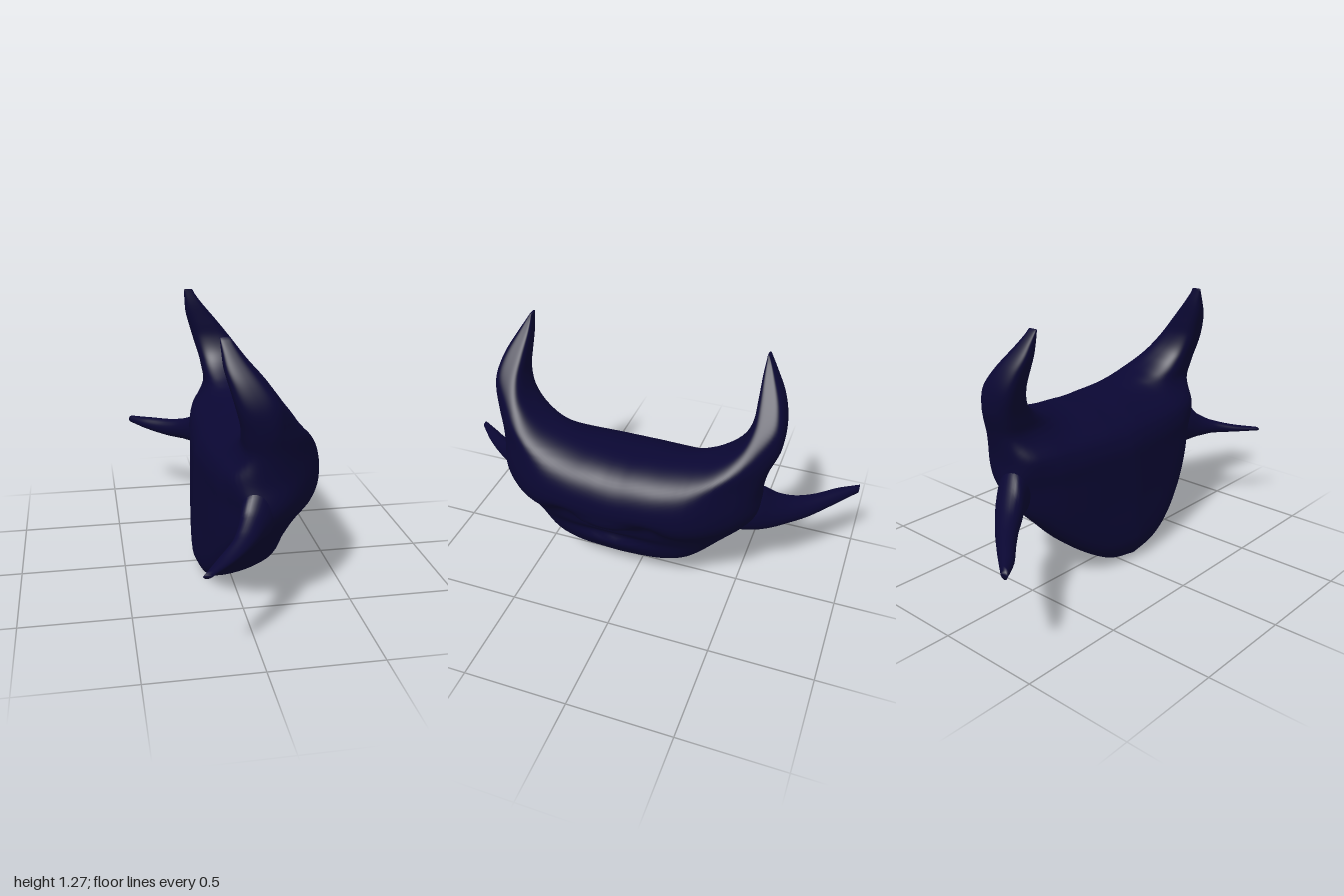
import * as THREE from 'three';

const material = new THREE.MeshStandardMaterial({ color: 0x0a0733 });
const { lerp, smoothstep } = THREE.MathUtils;

// Piecewise lookup in [key, value] pairs, lightly smoothed
function linear(table, k) {
  if (k <= table[0][0]) return table[0][1];
  for (let i = 1; i < table.length; i++) {
    const [k0, v0] = table[i - 1], [k1, v1] = table[i];
    if (k <= k1) return v0 + (v1 - v0) * (k - k0) / (k1 - k0);
  }
  return table[table.length - 1][1];
}
const look = (table, k, w = 0.025) =>
  (linear(table, k - w) + 2 * linear(table, k) + linear(table, k + w)) / 4;
const bump = (d, w) => Math.exp(-(d * d) / (w * w));
const softMin = (a, b, r) => (a + b - Math.hypot(a - b, r)) / 2;

// Skin a list of closed rings (counter-clockwise seen from ahead) and cap both ends
function loft(name, rings) {
  const m = rings[0].length, n = rings.length, index = [];
  for (let i = 0; i < n - 1; i++) {
    for (let j = 0; j < m; j++) {
      const a = i * m + j, b = i * m + (j + 1) % m;
      index.push(a, b, a + m, b, b + m, a + m);
    }
  }
  const last = (n - 1) * m;
  for (let j = 1; j < m - 1; j++) {
    index.push(0, j + 1, j, last, last + j, last + j + 1);
  }
  const geometry = new THREE.BufferGeometry();
  geometry.setAttribute('position', new THREE.Float32BufferAttribute(rings.flat(2), 3));
  geometry.setIndex(index);
  geometry.computeVertexNormals();
  const mesh = new THREE.Mesh(geometry, material);
  mesh.name = name;
  return mesh;
}

// Crescent outline, chin to horn tip: inner edge z, y and outer edge z, y
const crescent = [
  [0, 0.79, 0, 0.002], [0.04, 0.79, 0.14, 0.03], [0.08, 0.793, 0.27, 0.1],
  [0.12, 0.796, 0.385, 0.19], [0.19, 0.8, 0.49, 0.3], [0.26, 0.81, 0.585, 0.41],
  [0.33, 0.825, 0.64, 0.53], [0.4, 0.848, 0.635, 0.66], [0.47, 0.89, 0.65, 0.78],
  [0.52, 0.945, 0.685, 0.9], [0.547, 1.02, 0.69, 1.0], [0.55, 1.1, 0.665, 1.1],
  [0.55, 1.2, 0.61, 1.2], [0.555, 1.27, 0.567, 1.27],
];
const innerCurve = new THREE.CatmullRomCurve3(crescent.map(([z, y]) => new THREE.Vector3(0, y, z)));
const outerCurve = new THREE.CatmullRomCurve3(crescent.map(([, , z, y]) => new THREE.Vector3(0, y, z)));

// Side profile by height: face, back and the line where they meet
const faceX = [[0, -0.04], [0.03, 0.015], [0.1, 0.11], [0.2, 0.2], [0.3, 0.228], [0.36, 0.258],
  [0.43, 0.305], [0.5, 0.37], [0.56, 0.393], [0.64, 0.398], [0.7, 0.388], [0.75, 0.365],
  [0.8, 0.325], [0.85, 0.268], [0.9, 0.218], [1, 0.137], [1.1, 0.055], [1.2, -0.03], [1.27, -0.08]];
const backX = [[0, -0.15], [0.03, -0.168], [0.1, -0.178], [0.3, -0.167], [0.6, -0.158],
  [0.68, -0.13], [0.75, -0.055], [0.8, -0.022], [0.9, -0.036], [1, -0.066], [1.15, -0.11], [1.27, -0.12]];
const innerX = [[0.79, 0.16], [0.85, 0.12], [0.9, 0.09], [1, 0.03], [1.1, -0.02], [1.2, -0.07], [1.27, -0.1]];
const outerX = [[0, -0.09], [0.06, -0.075], [0.2, -0.03], [0.45, 0.025], [0.6, 0.04], [0.78, 0.07],
  [0.9, 0.07], [1, 0.03], [1.1, -0.02], [1.2, -0.07], [1.27, -0.1]];
// How far the face and back draw in towards the sides
const faceInset = [[0, 0], [0.2, 0.008], [0.35, 0.03], [0.45, 0.075], [0.55, 0.15], [0.65, 0.25], [0.7, 0.3]];
const backInset = [[0, 0], [0.3, 0.025], [0.45, 0.045], [0.55, 0.085], [0.65, 0.14]];

function headPoint(inner, outer, side, theta) {
  const t = (1 - Math.cos(theta)) / 2;
  const y = lerp(inner.y, outer.y, t);
  const half = lerp(inner.z, outer.z, t);
  const z = side * half + 0.02 + 0.06 * Math.max(0, 1 - y / 0.9);
  const mid = lerp(look(innerX, inner.y), look(outerX, outer.y), t);
  return { y, z, half, mid, sin: Math.abs(Math.sin(theta)) };
}

function headRing(u, steps) {
  const side = u < 0 ? -1 : 1, s = Math.abs(u);
  const inner = innerCurve.getPoint(s), outer = outerCurve.getPoint(s), ring = [];
  // Full and blunt at the chin, rounder along the sides and horns
  const flank = smoothstep(s, 0.08, 0.45);
  for (let j = 0; j < 2 * steps; j++) {
    const back = j < steps;
    const p = headPoint(inner, outer, side, Math.PI * (back ? j : 2 * steps - j) / steps);
    let x;
    if (back) {
      const low = 1 - smoothstep(p.y, 0.5, 0.85);
      x = Math.min(look(backX, p.y) + low * look(backInset, p.half, 0.04), p.mid - 0.015);
    } else {
      // Below, the cheeks draw in; above, the brow runs on into the horns
      const inset = look(faceInset, p.half, 0.04), face = look(faceX, p.y);
      x = lerp(face - inset, softMin(face, 0.4 - inset, 0.04), smoothstep(p.y, 0.5, 0.85));
      // Eye sockets, the hollow under the brow, crease of the mouth and lower lip
      for (const e of [-0.12, 0.28]) x -= 0.045 * bump(p.z - e, 0.08) * bump(p.y - 0.48, 0.05);
      const centre = bump(p.z - 0.08, 0.2);
      x += centre * (0.02 * bump(p.y - 0.48, 0.03) - 0.025 * bump(p.y - 0.42, 0.03)
        - 0.02 * bump(p.y - 0.32, 0.025) + 0.015 * bump(p.y - 0.26, 0.03));
      x = Math.max(x, p.mid + 0.015);
    }
    const round = 1 - Math.pow(1 - p.sin, lerp(3, back ? 1.5 : 2.1, flank));
    ring.push([p.mid + (x - p.mid) * round, p.y, p.z]);
  }
  return ring;
}

// Tapering ear through stations of z, x, y, half width, half height
function ear(name, stations) {
  const path = new THREE.CatmullRomCurve3(stations.map(([z, x, y]) => new THREE.Vector3(x, y, z)));
  const size = new THREE.CatmullRomCurve3(stations.map(([, , , w, h]) => new THREE.Vector3(w, h, 0)));
  const rings = [];
  for (let i = 0; i <= 36; i++) {
    const c = path.getPoint(i / 36), r = size.getPoint(i / 36), ring = [];
    for (let j = 0; j < 28; j++) {
      const a = j / 28 * Math.PI * 2;
      ring.push([c.x + r.x * Math.cos(a), c.y + r.y * Math.sin(a), c.z]);
    }
    rings.push(ring);
  }
  return loft(name, rings);
}

export function createModel() {
  const model = new THREE.Group();
  model.name = 'hornedHead';

  const rings = [];
  for (let i = -80; i <= 80; i++) rings.push(headRing(i / 80, 48));
  model.add(loft('headWithHorns', rings));

  model.add(ear('frontEar', [
    [0.48, 0.06, 0.54, 0.03, 0.06], [0.58, 0.045, 0.535, 0.08, 0.13], [0.66, 0.025, 0.525, 0.075, 0.115],
    [0.72, -0.01, 0.498, 0.06, 0.07], [0.8, -0.06, 0.478, 0.048, 0.038],
    [0.9, -0.145, 0.46, 0.04, 0.02], [1, -0.235, 0.45, 0.018, 0.01],
  ]));
  model.add(ear('rearEar', [
    [-1, -0.38, 0.44, 0.02, 0.02], [-0.9, -0.28, 0.44, 0.052, 0.036], [-0.8, -0.17, 0.442, 0.065, 0.05],
    [-0.72, -0.09, 0.458, 0.075, 0.062], [-0.65, -0.03, 0.48, 0.085, 0.085],
    [-0.58, 0.02, 0.515, 0.085, 0.12], [-0.5, 0.05, 0.53, 0.08, 0.13], [-0.4, 0.06, 0.54, 0.03, 0.06],
  ]));
  return model;
}
